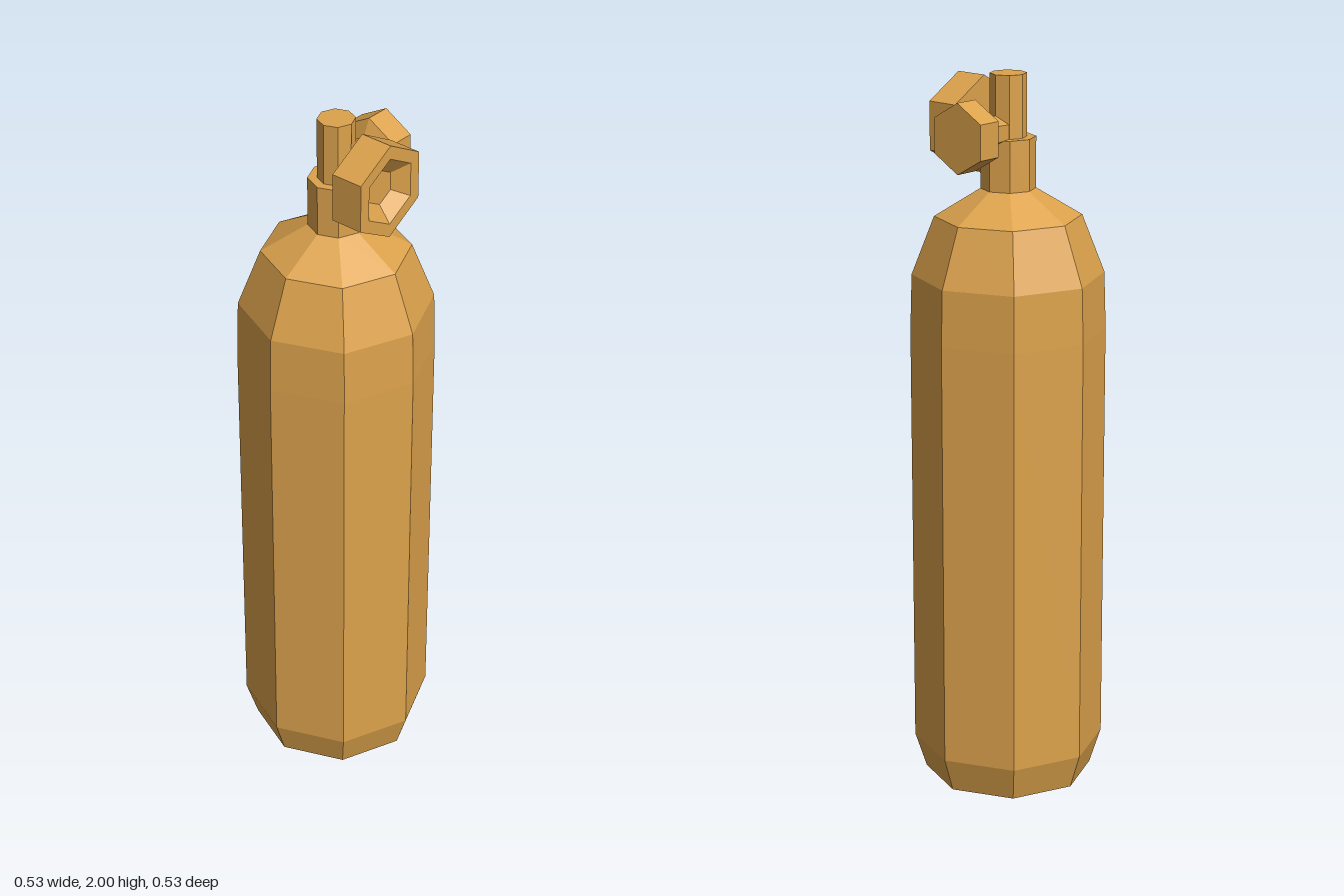
import * as THREE from 'three';

const material = new THREE.MeshStandardMaterial({ color: 0xdca24c, flatShading: true });

// Faceted solid turned from a [radius, height] profile listed bottom to top
function turned(name, profile, sides, phiStart = 0) {
  const points = profile.map(([r, y]) => new THREE.Vector2(r, y));
  const mesh = new THREE.Mesh(new THREE.LatheGeometry(points, sides, phiStart), material);
  mesh.name = name;
  return mesh;
}

export function createModel() {
  const model = new THREE.Group();
  model.name = 'gasCylinder';

  // Eight-sided tank with chamfered foot and sloping shoulders
  model.add(turned('tank', [
    [0, 0], [0.235, 0], [0.267, 0.1], [0.267, 1.3], [0.262, 1.455],
    [0.2, 1.615], [0.075, 1.69], [0, 1.69],
  ], 8));

  // Neck and the thinner post above it
  model.add(turned('neck', [[0, 1.68], [0.075, 1.68], [0.075, 1.83], [0, 1.83]], 8));
  model.add(turned('valvePost', [[0, 1.82], [0.05, 1.82], [0.05, 2], [0, 2]], 8));

  // Side knob: tapered stem, flared collar and hexagonal grip along +x
  const knob = turned('sideKnob', [
    [0, 0], [0.035, 0], [0.048, 0.11], [0.095, 0.13], [0.095, 0.2], [0, 0.2],
  ], 6, Math.PI / 2);
  knob.rotation.z = -Math.PI / 2;
  knob.position.y = 1.85;
  model.add(knob);

  // Front handwheel: hexagonal block with a dished face along +z
  const wheel = turned('frontHandwheel', [
    [0, 0.086], [0.133, 0.086], [0.133, 0.179], [0.095, 0.179], [0.05, 0.145], [0, 0.145],
  ], 6);
  wheel.rotation.x = Math.PI / 2;
  wheel.position.y = 1.852;
  model.add(wheel);

  // Short spindle joining the handwheel to the neck
  const spindle = turned('handwheelSpindle', [[0, 0.05], [0.03, 0.05], [0.03, 0.09], [0, 0.09]], 6);
  spindle.rotation.x = Math.PI / 2;
  spindle.position.y = 1.79;
  model.add(spindle);

  return model;
}
